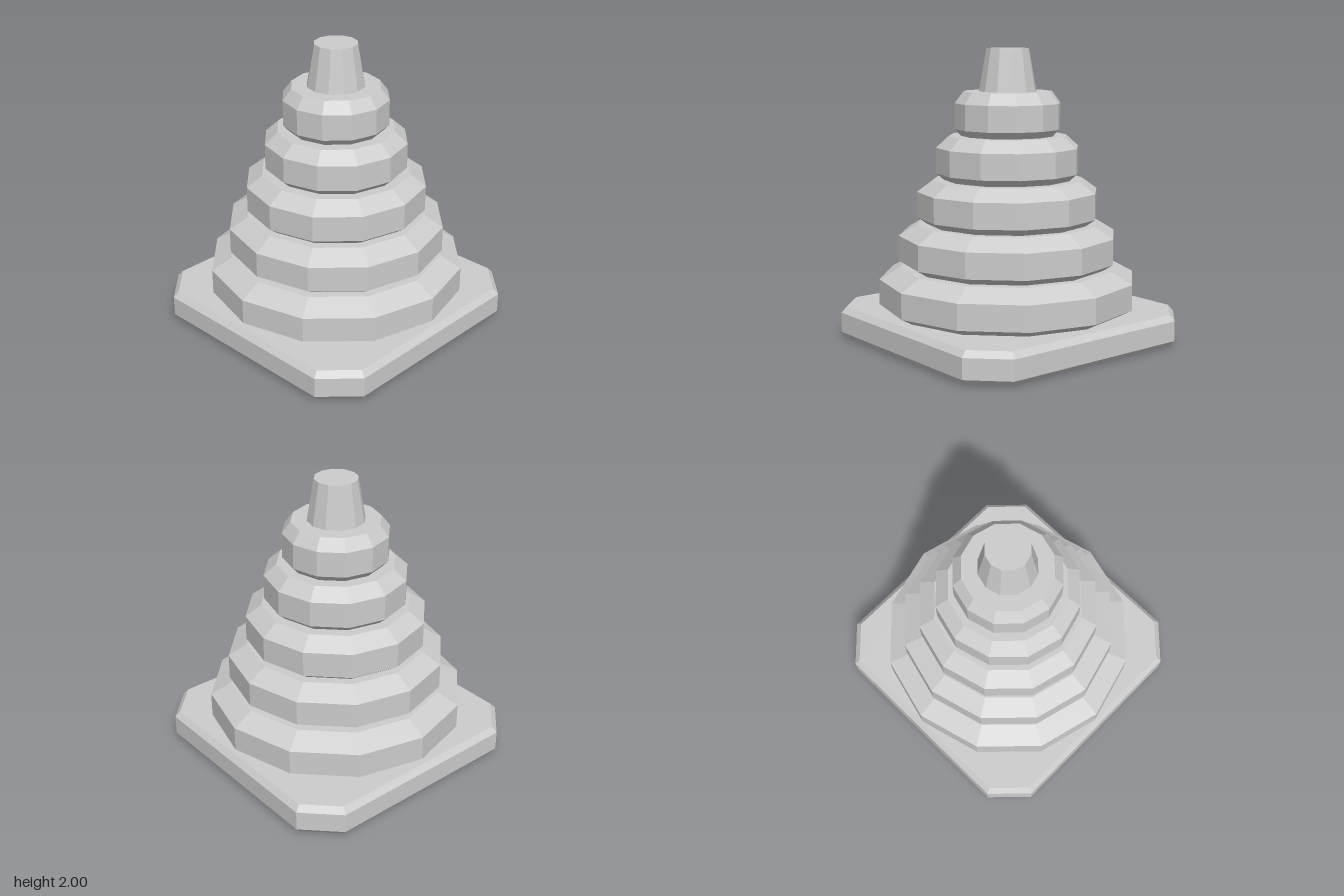
import * as THREE from 'three';

const grey = new THREE.MeshStandardMaterial({ color: 0xcccccc, flatShading: true });
grey.name = 'light grey';

function addPart(group, name, geometry) {
  const mesh = new THREE.Mesh(geometry, grey);
  mesh.name = name;
  group.add(mesh);
  return mesh;
}

// Closed twelve-sided solid from [radius, height] pairs, bottom to top
function turned(profile) {
  const bottom = profile[0][1];
  const top = profile[profile.length - 1][1];
  const points = [[0, bottom], ...profile, [0, top]].map(([r, y]) => new THREE.Vector2(r, y));
  return new THREE.LatheGeometry(points, 12);
}

export function createModel() {
  const model = new THREE.Group();
  model.name = 'stackedCone';

  // Square base with cut corners and bevelled rims
  const bevel = 0.035, rim = 0.04, height = 0.217;
  const a = 0.922 - bevel, b = 0.685;
  const outline = new THREE.Shape([
    [a, -b], [a, b], [b, a], [-b, a], [-a, b], [-a, -b], [-b, -a], [b, -a],
  ].map(([x, y]) => new THREE.Vector2(x, y)));
  const baseGeometry = new THREE.ExtrudeGeometry(outline, {
    depth: height - 2 * rim, bevelEnabled: true, bevelSize: bevel, bevelThickness: rim, bevelSegments: 1,
  });
  baseGeometry.translate(0, 0, rim);
  baseGeometry.rotateX(-Math.PI / 2);
  addPart(model, 'base', baseGeometry);

  // Five bevelled rings: lower, widest and upper radius
  const rings = [
    [0.805, 0.888, 0.745],
    [0.68, 0.752, 0.625],
    [0.56, 0.624, 0.515],
    [0.44, 0.492, 0.405],
    [0.322, 0.364, 0.305],
  ];
  const step = 0.2985;
  rings.forEach(([lower, wide, upper], i) => {
    const y = height + i * step;
    addPart(model, `ring${i + 1}`, turned([
      [lower, y], [wide, y + 0.046], [wide, y + 0.22], [upper, y + step],
    ]));
  });

  // Tapered tip
  addPart(model, 'tip', turned([[0.197, height + 5 * step], [0.147, 2]]));

  return model;
}
